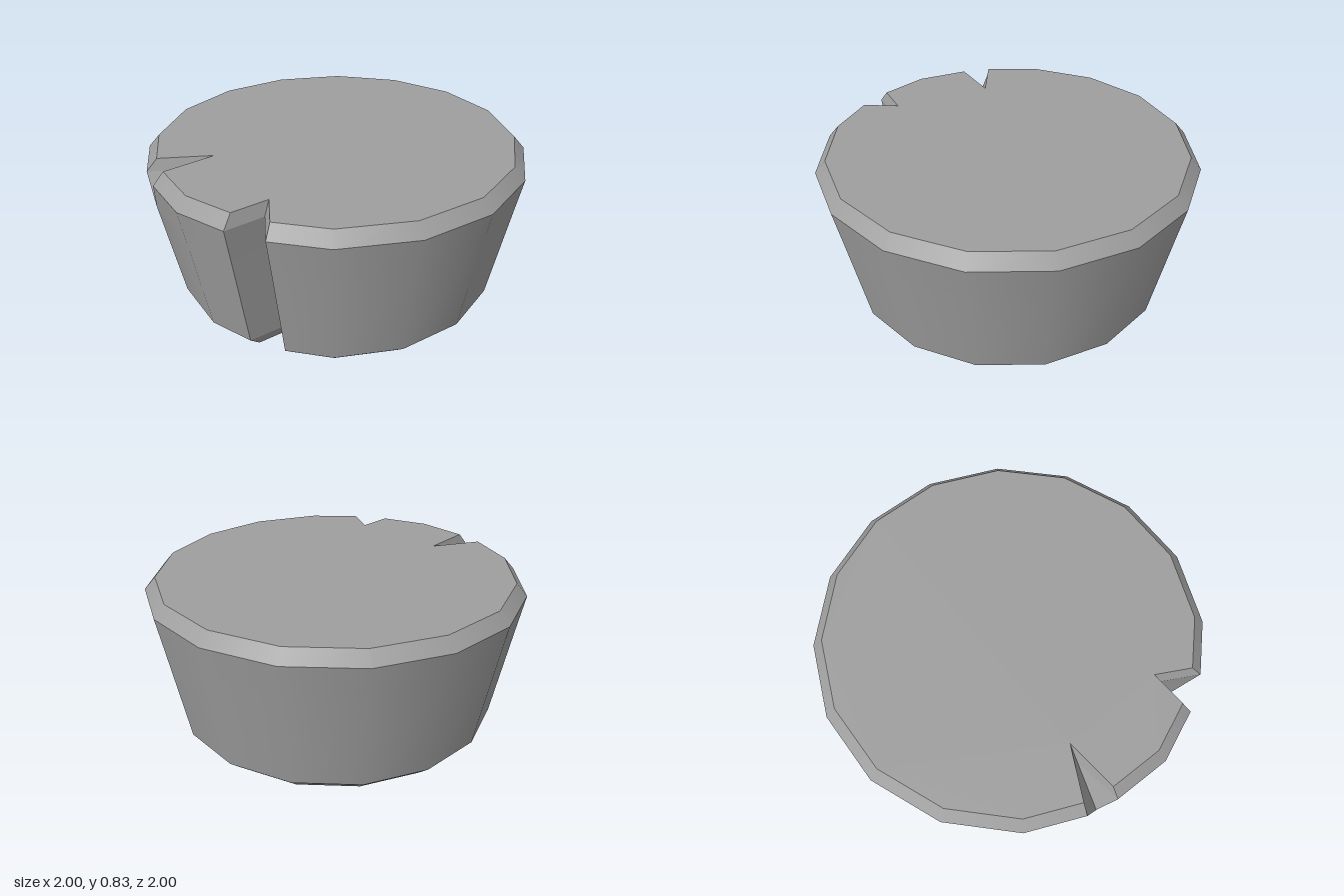
import * as THREE from 'three';

const SIDES = 16;
const WALL_TOP = 0.766;
// Horizontal rings of the stump: height, radius, and whether the upper split is open there
const RINGS = [
  { y: 0, r: 0.8 },
  { y: 0.066, r: 0.872 },
  { y: 0.6, r: 0.969 },
  { y: WALL_TOP, r: 1, open: true },
  { y: 0.83, r: 0.943, open: true },
];

// Valley of the short upper split, running from the wall up and in to the top face
const corner = (k) => [Math.sin((k / SIDES) * Math.PI * 2), Math.cos((k / SIDES) * Math.PI * 2)];
const valleyFoot = new THREE.Vector3(corner(13)[0] * 0.969, 0.6, corner(13)[1] * 0.969);
const valleyTip = new THREE.Vector3(-0.607, 0.83, 0.25);

// One ring: a 16-sided outline with two of its corners replaced by cuts
function ringPoints({ y, r, open }) {
  const points = [];
  const add = ([x, z]) => points.push(new THREE.Vector3(x * r, y, z * r));
  const lean = 0.014 * Math.max(0, 1 - y / WALL_TOP);
  for (let k = 0; k < SIDES; k++) {
    if (k === 13) {
      // short split: closes to a single corner below its foot
      add(open ? [-0.941, 0.305] : corner(k));
      if (open) points.push(valleyFoot.clone().lerp(valleyTip, (y - 0.6) / 0.23));
      else add(corner(k));
      add(open ? [-0.873, 0.457] : corner(k));
    } else if (k === 15) {
      // full-height notch, leaning slightly at the base
      add([-0.472, 0.864]);
      add([-0.308 + lean, 0.738]);
      add([-0.284 + lean, 0.9435 + lean * 0.2]);
    } else add(corner(k));
  }
  return points;
}

function stumpGeometry() {
  const rings = RINGS.map(ringPoints);
  const count = rings[0].length;
  const positions = [];
  const normals = [];
  const triangle = (corners, cornerNormals) => {
    const [a, b, c] = corners;
    if (a.equals(b) || b.equals(c) || c.equals(a)) return;
    corners.forEach((p, i) => {
      positions.push(...p.toArray());
      normals.push(...cornerNormals[i].toArray());
    });
  };

  // walls and bevels, smooth around each band and sharp at its rims and at the cuts
  for (let n = 0; n < rings.length - 1; n++) {
    const low = rings[n], high = rings[n + 1];
    const faces = low.map((p, i) => {
      const j = (i + 1) % count;
      const across = high[j].clone().sub(p);
      return across.cross(high[i].clone().sub(low[j])).normalize();
    });
    const blend = (i, step) => {
      let k = i;
      do k = (k + step + count) % count; while (faces[k].lengthSq() < 0.5);
      const smooth = faces[i].dot(faces[k]) > 0.86;
      return smooth ? faces[i].clone().add(faces[k]).normalize() : faces[i];
    };
    for (let i = 0; i < count; i++) {
      const j = (i + 1) % count;
      const start = blend(i, -1), end = blend(i, 1);
      triangle([low[i], low[j], high[j]], [start, end, end]);
      triangle([low[i], high[j], high[i]], [start, end, start]);
    }
  }

  // top and bottom faces
  const cap = (ring, up) => {
    const pts = ring.filter((p, i) => !p.equals(ring[(i + 1) % count]));
    const outline = pts.map((p) => new THREE.Vector2(p.x, -p.z));
    const normal = new THREE.Vector3(0, up ? 1 : -1, 0);
    for (const [a, b, c] of THREE.ShapeUtils.triangulateShape(outline, [])) {
      const corners = up ? [pts[a], pts[b], pts[c]] : [pts[a], pts[c], pts[b]];
      triangle(corners, [normal, normal, normal]);
    }
  };
  cap(rings[0], false);
  cap(rings[rings.length - 1], true);

  const geometry = new THREE.BufferGeometry();
  geometry.setAttribute('position', new THREE.Float32BufferAttribute(positions, 3));
  geometry.setAttribute('normal', new THREE.Float32BufferAttribute(normals, 3));
  return geometry;
}

export function createModel() {
  const model = new THREE.Group();
  model.name = 'stump';
  const body = new THREE.Mesh(stumpGeometry(), new THREE.MeshStandardMaterial({ color: 0x9e9e9e }));
  body.name = 'stumpBody';
  model.add(body);
  return model;
}
